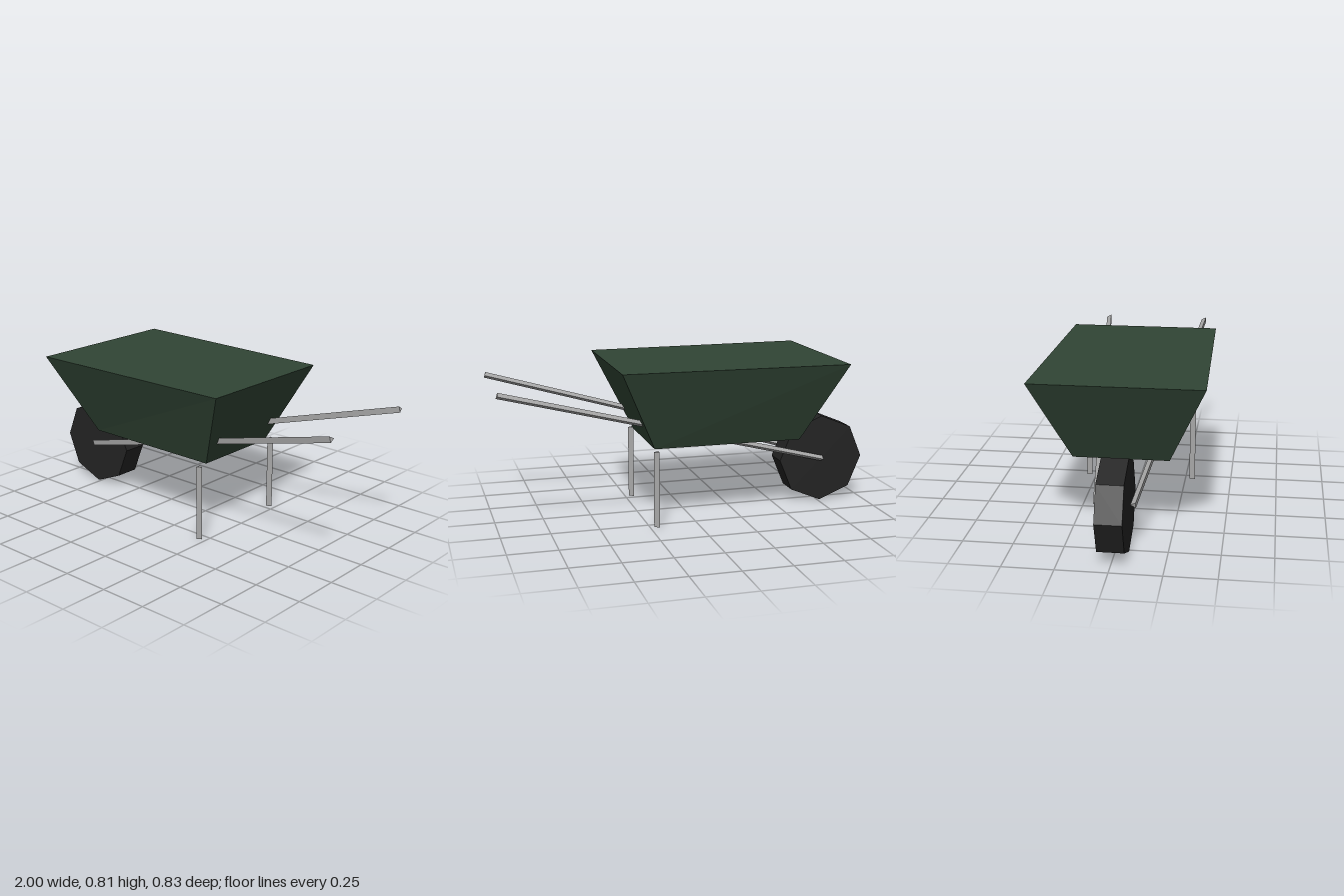
import * as THREE from 'three';

const paint = (name, color) => {
  const m = new THREE.MeshStandardMaterial({ color });
  m.name = name;
  return m;
};

// Faceted normals for the low-poly look
const faceted = (geometry) => {
  const g = geometry.toNonIndexed();
  g.computeVertexNormals();
  return g;
};

export function createModel() {
  const group = new THREE.Group();
  const green = paint('darkGreen', 0x314535);
  const black = paint('rubberBlack', 0x232323);
  const grey = paint('metalGrey', 0xa6a6a6);

  const add = (name, geometry, material) => {
    const mesh = new THREE.Mesh(faceted(geometry), material);
    mesh.name = name;
    group.add(mesh);
    return mesh;
  };

  // Three-sided bar between two points, one edge facing the given direction
  const bar = (name, from, to, edge) => {
    const a = new THREE.Vector3(...from), b = new THREE.Vector3(...to);
    const y = b.clone().sub(a);
    const length = y.length();
    y.normalize();
    const z = new THREE.Vector3(...edge);
    z.addScaledVector(y, -z.dot(y)).normalize();
    const x = y.clone().cross(z);
    const mesh = add(name, new THREE.CylinderGeometry(0.0175, 0.0175, length, 3), grey);
    mesh.quaternion.setFromRotationMatrix(new THREE.Matrix4().makeBasis(x, y, z));
    mesh.position.copy(a).add(b).multiplyScalar(0.5);
  };

  // Filled tub: flares upward, slightly wider at the wheel end
  const tub = new THREE.BoxGeometry(1, 1, 1);
  const p = tub.attributes.position;
  for (let i = 0; i < p.count; i++) {
    const top = p.getY(i) > 0, handleEnd = p.getX(i) > 0;
    const x = top ? (handleEnd ? 0.405 : -0.765) : (handleEnd ? 0.21 : -0.57);
    const halfWidth = top ? (handleEnd ? 0.389 : 0.416) : 0.235;
    p.setXYZ(i, x, top ? 0.81 : 0.393, Math.sign(p.getZ(i)) * halfWidth);
  }
  add('tub', tub, green);

  // Octagonal wheel
  const wheel = new THREE.CylinderGeometry(0.235, 0.235, 0.13, 8).rotateX(Math.PI / 2);
  add('wheel', wheel, black).position.set(-0.765, 0.235, 0);

  // Handles run from the wheel hub through the tub; legs stand under its rear
  for (const [side, s] of [['front', 1], ['back', -1]]) {
    bar(side + 'Handle', [-0.765, 0.238, s * 0.088], [0.993, 0.719, s * 0.288], [0, 0, -1]);
    bar(side + 'Leg', [0.211, 0, s * 0.287], [0.211, 0.392, s * 0.287], [1, 0, 0]);
  }

  return group;
}
